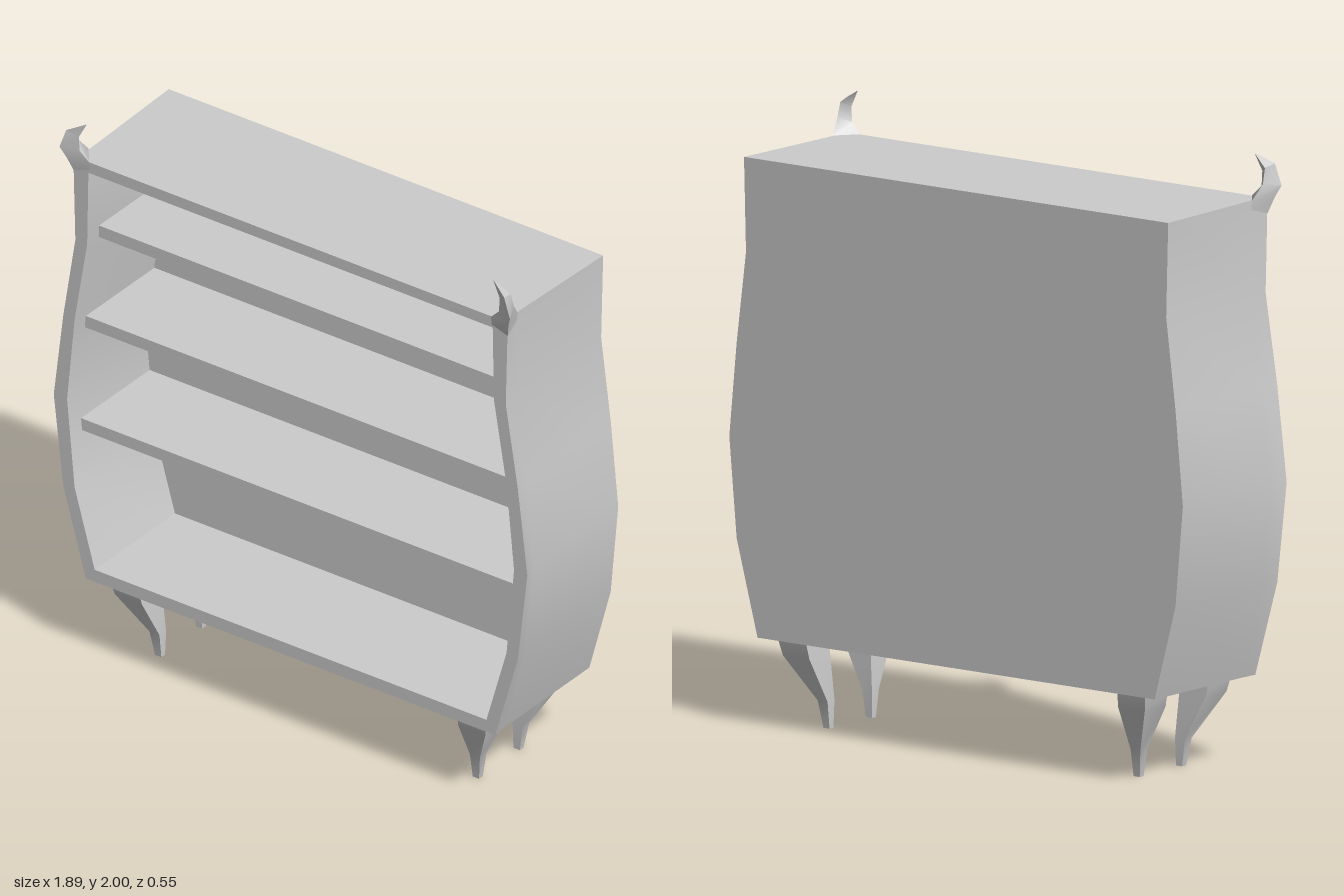
import * as THREE from 'three';
import { toCreasedNormals } from 'three/addons/utils/BufferGeometryUtils.js';

const material = new THREE.MeshStandardMaterial({ color: 0xcccccc });

// Skin a list of equal-length rings and close both ends with a fan.
function loft(rings, crease) {
  const n = rings[0].length;
  const pos = rings.flat(2);
  const index = [];
  for (let i = 0; i < rings.length - 1; i++) {
    for (let j = 0; j < n; j++) {
      const k = (j + 1) % n;
      const a = i * n + j, b = i * n + k, c = b + n, d = a + n;
      index.push(a, b, c, a, c, d);
    }
  }
  const cap = (r, flip) => {
    const centre = pos.length / 3;
    for (let c = 0; c < 3; c++) pos.push(rings[r].reduce((s, p) => s + p[c], 0) / n);
    for (let j = 0; j < n; j++) {
      const a = r * n + j, b = r * n + (j + 1) % n;
      index.push(centre, flip ? b : a, flip ? a : b);
    }
  };
  cap(0, true);
  cap(rings.length - 1, false);
  const g = new THREE.BufferGeometry();
  g.setAttribute('position', new THREE.Float32BufferAttribute(pos, 3));
  g.setIndex(index);
  return toCreasedNormals(g, crease);
}

function addMesh(group, geometry, name) {
  const mesh = new THREE.Mesh(geometry, material);
  mesh.name = name;
  group.add(mesh);
  return mesh;
}

// Symmetric outline from half widths and heights, at depth z.
function outline(widths, heights, z) {
  const right = widths.map((x, i) => [x, heights[i], z]);
  const left = right.map(([x, y]) => [-x, y, z]).reverse();
  return [...right, ...left];
}

export function createModel() {
  const model = new THREE.Group();
  model.name = 'bookcase';

  // Bulging cabinet shell: outside, flared front frame, hollow inside
  const outerY = [0.295, 0.61, 0.94, 1.25, 1.55, 1.86];
  const innerY = [0.34, 0.62, 0.94, 1.25, 1.55, 1.82];
  const innerX = [0.78, 0.86, 0.89, 0.86, 0.81, 0.805];
  addMesh(model, loft([
    outline([0.81, 0.895, 0.925, 0.895, 0.857, 0.865], outerY, -0.272),
    outline([0.81, 0.89, 0.925, 0.89, 0.853, 0.85], outerY, 0.18),
    outline([0.815, 0.905, 0.943, 0.905, 0.857, 0.865], outerY, 0.243),
    outline(innerX, innerY, 0.243),
    outline(innerX, innerY, -0.19),
  ], 0.45), 'cabinet');

  // Shelves, set back from the front frame
  for (const [y, halfWidth] of [[0.82, 0.885], [1.21, 0.868], [1.568, 0.815]]) {
    const shelf = addMesh(model, new THREE.BoxGeometry(halfWidth * 2, 0.043, 0.38), 'shelf');
    shelf.position.set(0, y, -0.01);
  }

  // Curved tapering legs: y, inner x, outer x, inner z, outer z
  const legSections = [
    [0, 0.62, 0.645, 0.08, 0.1],
    [0.09, 0.618, 0.658, 0.077, 0.113],
    [0.24, 0.63, 0.738, 0.084, 0.192],
    [0.3, 0.635, 0.75, 0.087, 0.205],
  ];
  const midZ = -0.02;
  for (const sx of [1, -1]) {
    for (const sz of [1, -1]) {
      const rings = legSections.map(([y, x0, x1, z0, z1]) => {
        const ring = [[x1, z1], [x1, z0], [x0, z0], [x0, z1]]
          .map(([x, z]) => [sx * x, y, midZ + sz * (z - midZ)]);
        return sx * sz < 0 ? ring.reverse() : ring;
      });
      addMesh(model, loft(rings, 0.6), sz > 0 ? 'frontLeg' : 'backLeg');
    }
  }

  // Three-sided horns curling in above the front corners
  const hornSections = [
    [[0.865, 1.81, 0.243], [0.852, 1.83, 0.175], [0.8, 1.83, 0.243]],
    [[0.88, 1.86, 0.26], [0.855, 1.86, 0.175], [0.8, 1.86, 0.245]],
    [[0.897, 1.9, 0.275], [0.868, 1.91, 0.215], [0.835, 1.895, 0.25]],
    [[0.872, 1.97, 0.272], [0.866, 1.96, 0.228], [0.838, 1.945, 0.25]],
    [[0.812, 2, 0.246], [0.811, 2, 0.244], [0.81, 1.999, 0.246]],
  ];
  for (const s of [1, -1]) {
    const rings = hornSections.map((section) => {
      const ring = section.map(([x, y, z]) => [s * x, y, z]);
      return s < 0 ? ring.reverse() : ring;
    });
    addMesh(model, loft(rings, 0.6), s > 0 ? 'leftHorn' : 'rightHorn');
  }

  return model;
}
